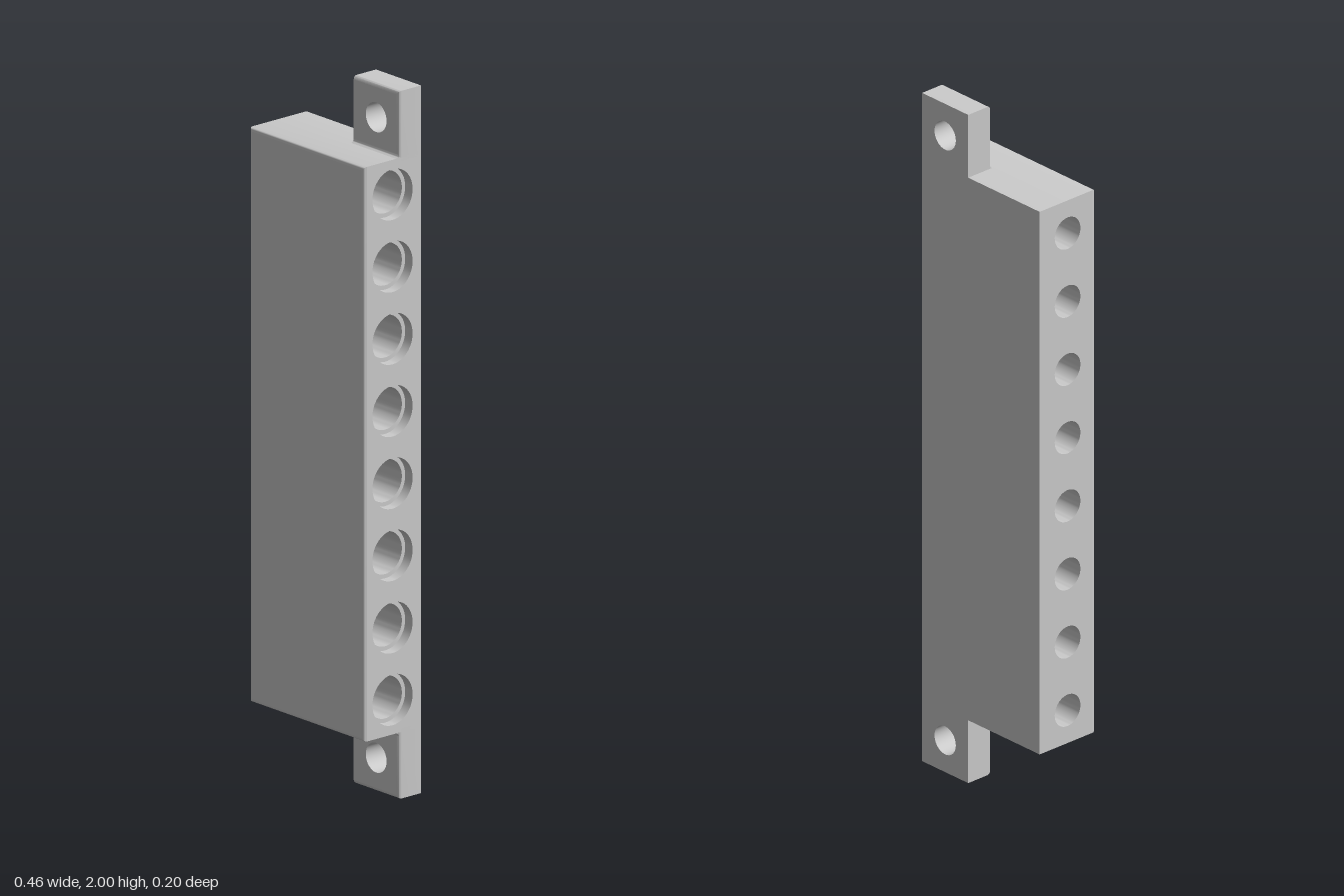
import * as THREE from 'three';
import { toCreasedNormals, mergeGeometries } from 'three/addons/utils/BufferGeometryUtils.js';

const X = 0.232, Z = 0.102, Y0 = 0.188, Y1 = 1.812; // block extents
const TAB_X = 0.05, TAB_Z = -0.022, R = 0.01;        // lug extents and edge radius
const LUG_HOLE = 0.042, LUG_HOLE_X = 0.141;
const PORT_R = 0.072, SEAT_R = 0.06, BORE_R = 0.047;
const lugHoleYs = [0.095, 1.905];
const portYs = Array.from({ length: 8 }, (_, i) => 0.286 + i * 0.204);

const grey = new THREE.MeshStandardMaterial({ color: 0xcccccc });
const greyDouble = new THREE.MeshStandardMaterial({ color: 0xcccccc, side: THREE.DoubleSide });

function mesh(name, geometry, material = grey) {
  const m = new THREE.Mesh(geometry, material);
  m.name = name;
  return m;
}

// Flat polygon with round holes given as [x, y, radius]
function plate(points, holes = []) {
  const shape = new THREE.Shape(points.map(([x, y]) => new THREE.Vector2(x, y)));
  for (const [x, y, r] of holes) {
    shape.holes.push(new THREE.Path().absarc(x, y, r, 0, Math.PI * 2, true));
  }
  return new THREE.ShapeGeometry(shape, 24);
}

const rect = (x0, y0, x1, y1) => [[x0, y0], [x1, y0], [x1, y1], [x0, y1]];

// Walls of a box whose front edges are rounded; leftRound = 0 keeps the left edge sharp
function roundedWalls(x0, y0, x1, y1, zBack, zFront, leftRound, openEnds) {
  const rings = [[zBack, 0]];
  for (let i = 0; i <= 6; i++) {
    const a = (i / 6) * Math.PI / 2;
    rings.push([zFront - R + R * Math.sin(a), R * (1 - Math.cos(a))]);
  }
  const corners = rings.map(([z, d]) =>
    rect(x0 + d * leftRound, y0 + d, x1 - d, y1 - d).map(([x, y]) => [x, y, z]));
  const pos = [];
  for (let k = 0; k < rings.length - 1; k++) {
    for (let s = 0; s < 4; s++) {
      if (openEnds && k === 0 && s % 2 === 1) continue;
      const t = (s + 1) % 4;
      const [a, b, c, d] = [corners[k][s], corners[k][t], corners[k + 1][t], corners[k + 1][s]];
      pos.push(...a, ...b, ...c, ...a, ...c, ...d);
    }
  }
  const g = new THREE.BufferGeometry();
  g.setAttribute('position', new THREE.Float32BufferAttribute(pos, 3));
  return toCreasedNormals(g, 0.6);
}

function createBlock() {
  const block = new THREE.Group();
  block.name = 'block';
  block.add(mesh('blockWalls', roundedWalls(-X, Y0, X, Y1, -Z, Z, 1, true)));
  block.add(mesh('frontFace', plate(rect(-X + R, Y0 + R, X - R, Y1 - R)).translate(0, 0, Z)));

  // Side faces pierced by the row of ports
  const wide = plate(rect(-Z + R, Y0, Z, Y1), portYs.map(y => [0, y, PORT_R]));
  block.add(mesh('portFace', wide.rotateY(Math.PI / 2).translate(X, 0, 0)));
  const narrow = plate(rect(-Z, Y0, Z - R, Y1), portYs.map(y => [0, y, BORE_R]));
  block.add(mesh('outletFace', narrow.rotateY(-Math.PI / 2).translate(-X, 0, 0)));

  // One back face shared by the block and both lugs
  const back = plate([
    [-X, Y0], [TAB_X, Y0], [TAB_X, 0], [X, 0], [X, 2], [TAB_X, 2], [TAB_X, Y1], [-X, Y1],
  ], lugHoleYs.map(y => [LUG_HOLE_X, y, LUG_HOLE]));
  back.scale(-1, 1, 1).rotateY(Math.PI);
  // Mirroring reverses the faces, so turn the corner order and normals back
  back.index.array.reverse();
  back.translate(0, 0, -Z);
  back.computeVertexNormals();
  block.add(mesh('backFace', back, greyDouble));
  return block;
}

// Stepped bore running through the block along x
function createBores() {
  const bores = new THREE.Group();
  bores.name = 'bores';
  const profile = [
    [BORE_R, -X], [BORE_R, 0], [SEAT_R, 0], [SEAT_R, X - 0.03], [PORT_R, X - 0.03], [PORT_R, X],
  ].map(([r, y]) => new THREE.Vector2(r, y));
  const bore = toCreasedNormals(new THREE.LatheGeometry(profile, 48), 0.6);
  bore.rotateZ(-Math.PI / 2);
  portYs.forEach((y, i) => {
    const m = mesh('bore' + (i + 1), bore, greyDouble);
    m.position.y = y;
    bores.add(m);
  });
  return bores;
}

// Mounting lug at the top (side = 1) or bottom (side = -1)
function createLug(side) {
  const lug = new THREE.Group();
  lug.name = side > 0 ? 'topLug' : 'bottomLug';
  const y0 = side > 0 ? Y1 - R : 0, y1 = side > 0 ? 2 : Y0 + R;
  const holeY = lugHoleYs[side > 0 ? 1 : 0];
  const front = plate(rect(TAB_X, y0 + R, X - R, y1 - R), [[LUG_HOLE_X, holeY, LUG_HOLE]]);
  lug.add(mesh('lugBody', mergeGeometries([
    roundedWalls(TAB_X, y0, X, y1, -Z, TAB_Z, 0, false),
    front.translate(0, 0, TAB_Z).toNonIndexed(),
  ].map(g => { g.deleteAttribute('uv'); return g; }))));

  const hole = new THREE.CylinderGeometry(LUG_HOLE, LUG_HOLE, TAB_Z + Z, 48, 1, true);
  hole.rotateX(Math.PI / 2).translate(LUG_HOLE_X, holeY, (TAB_Z - Z) / 2);
  lug.add(mesh('lugHole', hole, greyDouble));

  // Small concave fillet where the lug meets the block
  const edge = side > 0 ? Y1 : Y0;
  const fillet = [[-TAB_Z, edge]];
  for (let i = 0; i <= 6; i++) {
    const a = (i / 6) * Math.PI / 2;
    fillet.push([-TAB_Z - R * (1 - Math.sin(a)), edge + side * R * (1 - Math.cos(a))]);
  }
  const shape = new THREE.Shape(fillet.map(([u, v]) => new THREE.Vector2(u, v)));
  const strip = new THREE.ExtrudeGeometry(shape, { depth: X - TAB_X, bevelEnabled: false });
  lug.add(mesh('lugFillet', toCreasedNormals(strip.rotateY(Math.PI / 2).translate(TAB_X, 0, 0), 0.6)));
  return lug;
}

export function createModel() {
  const model = new THREE.Group();
  model.name = 'portedBlock';
  model.add(createBlock(), createBores(), createLug(1), createLug(-1));
  return model;
}
